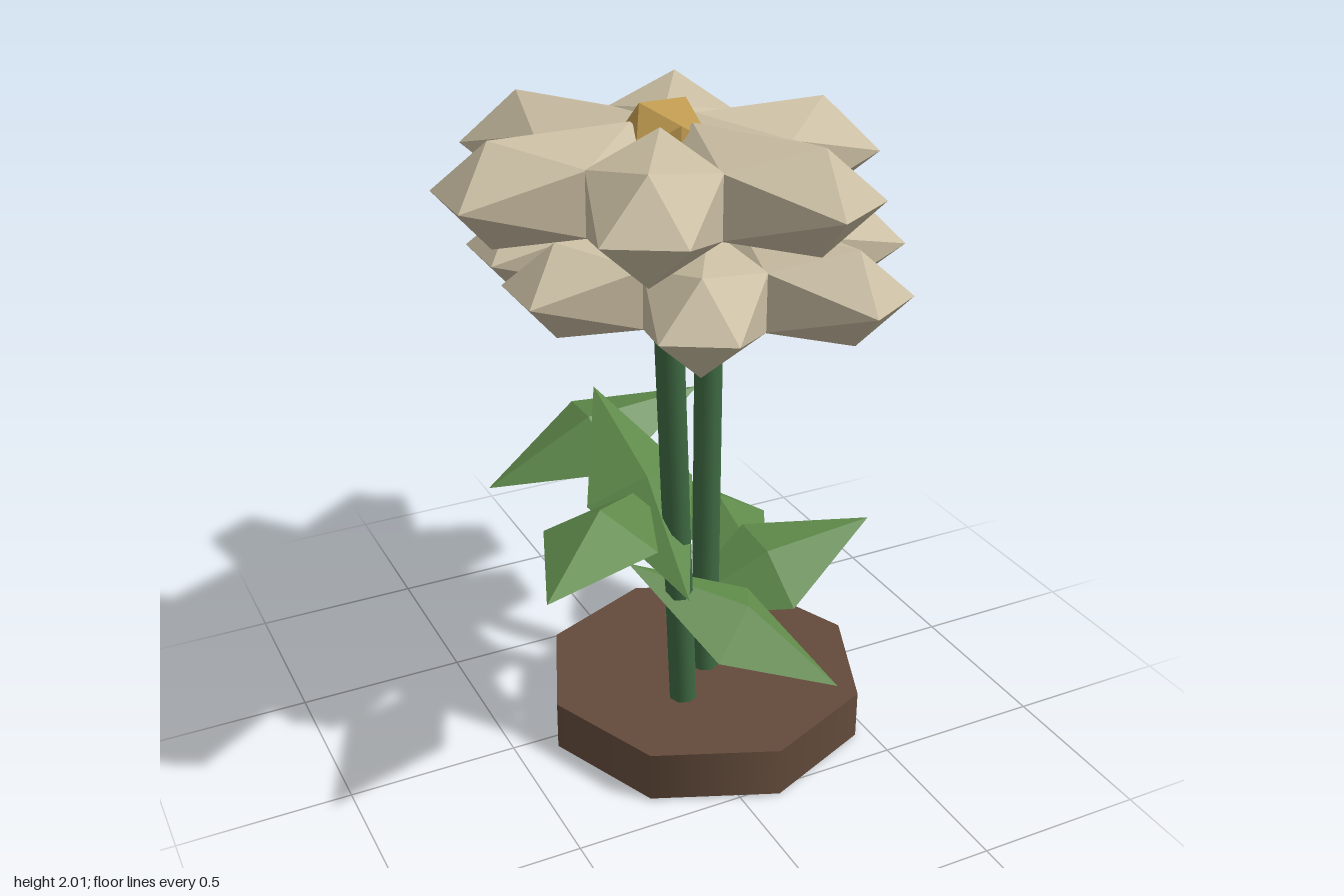
import * as THREE from 'three';

const paint = (color, flat = true) =>
  new THREE.MeshStandardMaterial({ color, flatShading: flat });
const petalMat = paint(0xc9bda2);
const coreMat = paint(0xc09a50);
const leafMat = paint(0x5f8a4a);
const stemMat = paint(0x3f6b43, false);
const baseMat = paint(0x634b3b, false);

function addMesh(parent, name, geometry, material) {
  const mesh = new THREE.Mesh(geometry, material);
  mesh.name = name;
  parent.add(mesh);
  return mesh;
}

// Six stretched icosahedra around a small golden core
function makeFlower(x, y, z) {
  const flower = new THREE.Group();
  flower.name = 'flower';
  flower.position.set(x, y, z);
  const petal = new THREE.IcosahedronGeometry(1, 0);
  petal.scale(0.35, 0.158, 0.19).translate(0.272, 0, 0);
  for (let i = 0; i < 6; i++) {
    addMesh(flower, 'petal', petal, petalMat).rotation.y = i * Math.PI / 3;
  }
  addMesh(flower, 'flowerCore', new THREE.IcosahedronGeometry(0.12, 0), coreMat).position.y = 0.075;
  return flower;
}

// Straight tapered-free rod between two points
function makeStem(from, to) {
  const a = new THREE.Vector3(...from), b = new THREE.Vector3(...to);
  const dir = b.clone().sub(a);
  const stem = new THREE.Mesh(new THREE.CylinderGeometry(0.042, 0.042, dir.length(), 8), stemMat);
  stem.name = 'stem';
  stem.position.copy(a).add(b).multiplyScalar(0.5);
  stem.quaternion.setFromUnitVectors(new THREE.Vector3(0, 1, 0), dir.normalize());
  return stem;
}

// Stretched octahedron: long along one direction, wide along side, thin across both
function makeLeaf(center, along, side) {
  const a = new THREE.Vector3(...along).normalize();
  const q = a.clone().cross(new THREE.Vector3(...side)).normalize();
  const p = q.clone().cross(a);
  const leaf = new THREE.Mesh(new THREE.OctahedronGeometry(1, 0).scale(0.165, 0.095, 0.352), leafMat);
  leaf.name = 'leaf';
  leaf.quaternion.setFromRotationMatrix(new THREE.Matrix4().makeBasis(p, q, a));
  leaf.position.set(...center);
  return leaf;
}

export function createModel() {
  const model = new THREE.Group();
  model.name = 'pottedFlowers';

  // Octagonal soil base
  addMesh(model, 'base', new THREE.CylinderGeometry(0.485, 0.485, 0.15, 8), baseMat)
    .position.set(0.107, 0.075, 0.056);

  // Each plant: stem foot, flower centre, lower and upper leaf
  const plants = [
    {
      name: 'tallPlant', foot: [-0.01, 0, 0.165], top: [-0.14, 1.823, 0.28],
      leaves: [
        [[0.085, 0.43, 0.285], [0.245, -0.17, 0.185], [0.115, 0.03, -0.125]],
        [[-0.34, 0.83, 0.31], [-0.25, 0.01, 0.24], [0.69, 0, 0.72]],
      ],
    },
    {
      name: 'middlePlant', foot: [0.113, 0, 0.055], top: [0.113, 1.457, 0.055],
      leaves: [
        [[0.335, 0.43, 0.04], [0.335, 0.1, 0.027], [0.01, -0.07, 0.14]],
        [[-0.115, 0.82, 0.085], [-0.015, 0.2, -0.265], [0.165, 0.0125, 0]],
      ],
    },
    {
      name: 'backPlant', foot: [0.115, 0, -0.092], top: [0.137, 1.457, -0.282],
      leaves: [
        [[0.33, 0.428, -0.278], [0.015, 0, -0.352], [1, 0, 0.04]],
        [[-0.095, 0.823, -0.28], [0.335, 0.11, 0.025], [0, -0.05, 0.145]],
      ],
    },
  ];
  for (const { name, foot, top, leaves } of plants) {
    const plant = new THREE.Group();
    plant.name = name;
    plant.add(makeStem(foot, top), makeFlower(...top));
    leaves.forEach((leaf) => plant.add(makeLeaf(...leaf)));
    model.add(plant);
  }
  return model;
}
